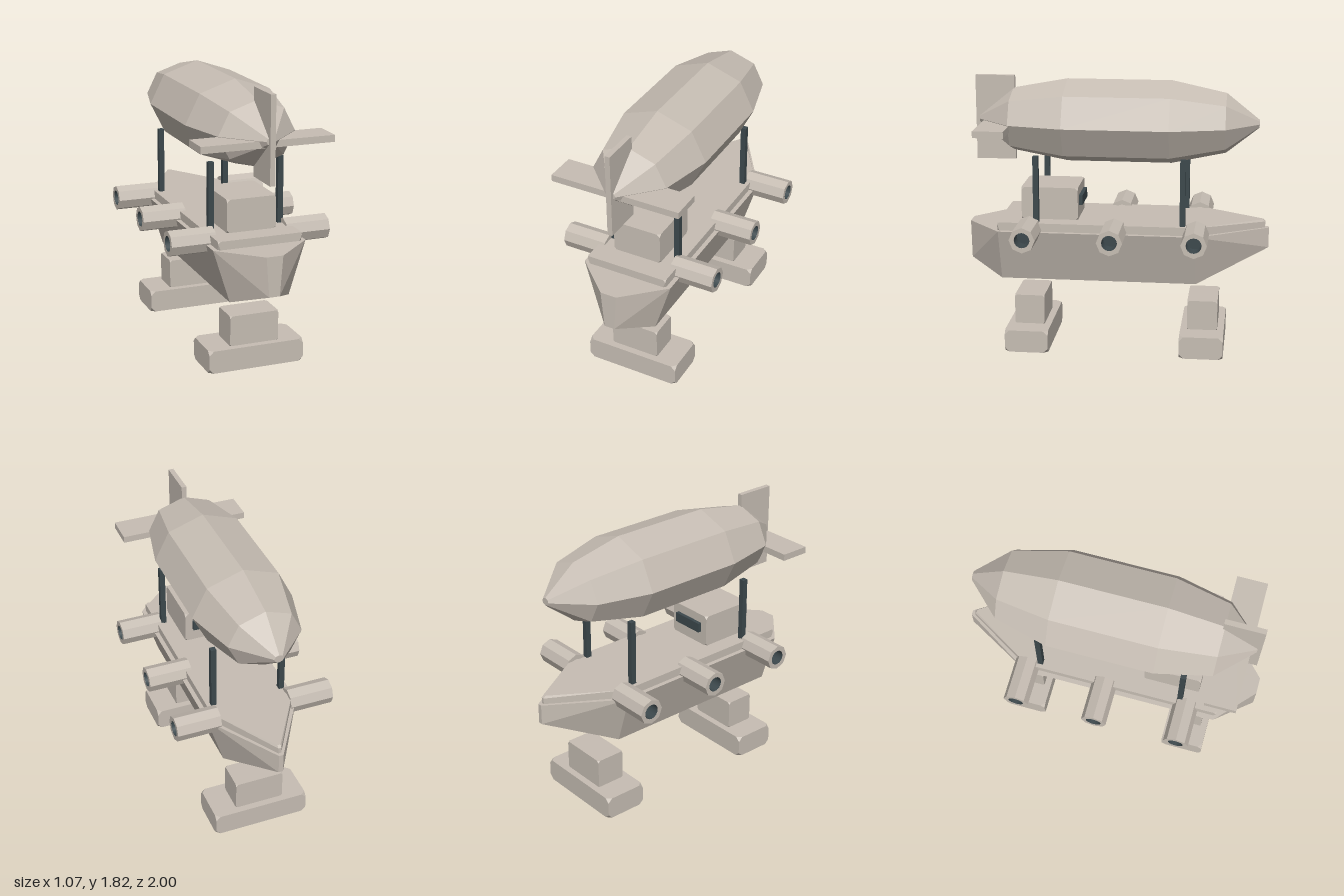
import * as THREE from 'three';
import { ConvexGeometry } from 'three/addons/geometries/ConvexGeometry.js';

export function createModel() {
  const model = new THREE.Group();
  model.name = 'airship';

  const plaster = new THREE.MeshStandardMaterial({ color: 0xc6bdb3 });
  plaster.name = 'warm grey';
  const iron = new THREE.MeshStandardMaterial({ color: 0x3c484c, side: THREE.DoubleSide });
  iron.name = 'dark slate';

  const add = (name, geometry, material, parent = model) => {
    const mesh = new THREE.Mesh(geometry, material);
    mesh.name = name;
    parent.add(mesh);
    return mesh;
  };

  // Plain box given by its limits on each axis
  const box = (name, [x0, x1], [y0, y1], [z0, z1], material) => {
    const mesh = add(name, new THREE.BoxGeometry(x1 - x0, y1 - y0, z1 - z0), material);
    mesh.position.set((x0 + x1) / 2, (y0 + y1) / 2, (z0 + z1) / 2);
    return mesh;
  };

  // Box with its eight corners cut off by c, symmetric in x
  const cutBox = (name, hx, [y0, y1], [z0, z1], c) => {
    const points = [];
    for (const sx of [-1, 1]) for (const sy of [-1, 1]) for (const sz of [-1, 1]) {
      const corner = new THREE.Vector3(sx * hx, sy < 0 ? y0 : y1, sz < 0 ? z0 : z1);
      points.push(
        corner.clone().add(new THREE.Vector3(-sx * c, 0, 0)),
        corner.clone().add(new THREE.Vector3(0, -sy * c, 0)),
        corner.clone().add(new THREE.Vector3(0, 0, -sz * c)));
    }
    return add(name, new ConvexGeometry(points), plaster);
  };

  // Convex solid from right-hand points mirrored across x = 0
  const mirrored = (name, list) => add(name, new ConvexGeometry(list.flatMap(([x, y, z]) =>
    [new THREE.Vector3(x, y, z), new THREE.Vector3(-x, y, z)])), plaster);

  // Hull: blunt front, tapering sharply to the back
  mirrored('hull', [
    [0.055, 0.83, 1], [0.035, 0.57, 1],
    [0.31, 0.83, 0.765], [0.2, 0.48, 0.765],
    [0.31, 0.83, -0.53], [0.2, 0.48, -0.53],
    [0.015, 0.83, -1], [0.015, 0.695, -1],
  ]);

  // Deck with small cut corners
  mirrored('deck', [
    [0.28, 0.83, 0.76], [0.265, 0.83, 0.775], [0.28, 0.87, 0.775],
    [0.28, 0.885, 0.76], [0.265, 0.885, 0.775],
    [0.28, 0.83, -0.53], [0.28, 0.885, -0.53],
    [0.01, 0.83, -0.975], [0.01, 0.87, -0.975], [0.01, 0.885, -0.96],
  ]);

  // Cabin and its window
  cutBox('cabin', 0.165, [0.88, 1.1], [0.255, 0.63], 0.02);
  box('cabinWindow', [-0.115, 0.115], [0.975, 1.04], [0.23, 0.26], iron);

  // Feet
  for (const [name, z] of [['front', 0.588], ['rear', -0.575]]) {
    cutBox(name + 'Foot', 0.322, [0, 0.15], [z - 0.145, z + 0.145], 0.03);
    cutBox(name + 'FootBlock', 0.165, [0.145, 0.35], [z - 0.1, z + 0.1], 0.015);
  }

  // Balloon: eight-sided, wider than tall
  const profile = [[0, -0.92], [0.026, -0.92], [0.198, -0.705], [0.275, -0.35],
    [0.275, 0.34], [0.208, 0.7], [0.026, 0.925], [0, 0.925]]
    .map(([r, z]) => new THREE.Vector2(r, z));
  let balloonShape = new THREE.LatheGeometry(profile, 8);
  balloonShape.rotateX(Math.PI / 2);
  balloonShape.scale(0.335 / 0.275, 1, 1);
  balloonShape = balloonShape.toNonIndexed();
  balloonShape.computeVertexNormals();
  add('balloon', balloonShape, plaster).position.y = 1.525;

  // Fins
  box('verticalFin', [-0.017, 0.017], [1.255, 1.815], [0.69, 0.95], plaster);
  box('horizontalFin', [-0.435, 0.435], [1.478, 1.522], [0.69, 0.89], plaster);

  // Struts between deck and balloon
  for (const x of [-0.235, 0.235]) for (const z of [0.52, -0.44]) {
    box('strut', [x - 0.018, x + 0.018], [0.85, 1.325], [z - 0.018, z + 0.018], iron);
  }

  // Side barrels: octagon with a recessed dark bore
  const octagon = new THREE.Shape(Array.from({ length: 8 }, (_, i) => new THREE.Vector2(
    0.084 * Math.cos(i * Math.PI / 4), 0.084 * Math.sin(i * Math.PI / 4))));
  octagon.holes.push(new THREE.Path().absarc(0, 0, 0.051, 0, Math.PI * 2, true));
  const barrelShape = new THREE.ExtrudeGeometry(octagon,
    { depth: 0.295, bevelEnabled: false, curveSegments: 8 });
  const boreShape = new THREE.CylinderGeometry(0.0495, 0.0495, 0.1, 16, 1, true);
  boreShape.rotateX(Math.PI / 2);
  const boreEnd = new THREE.CircleGeometry(0.051, 16);
  for (const side of [-1, 1]) for (const z of [0.565, 0.005, -0.53]) {
    const barrel = new THREE.Group();
    barrel.name = side > 0 ? 'leftBarrel' : 'rightBarrel';
    add('barrelTube', barrelShape, plaster, barrel);
    add('barrelBore', boreShape, iron, barrel).position.z = 0.245;
    add('barrelBoreEnd', boreEnd, iron, barrel).position.z = 0.195;
    barrel.position.set(side * 0.24, 0.84, z);
    barrel.rotation.y = side * Math.PI / 2;
    model.add(barrel);
  }

  return model;
}
